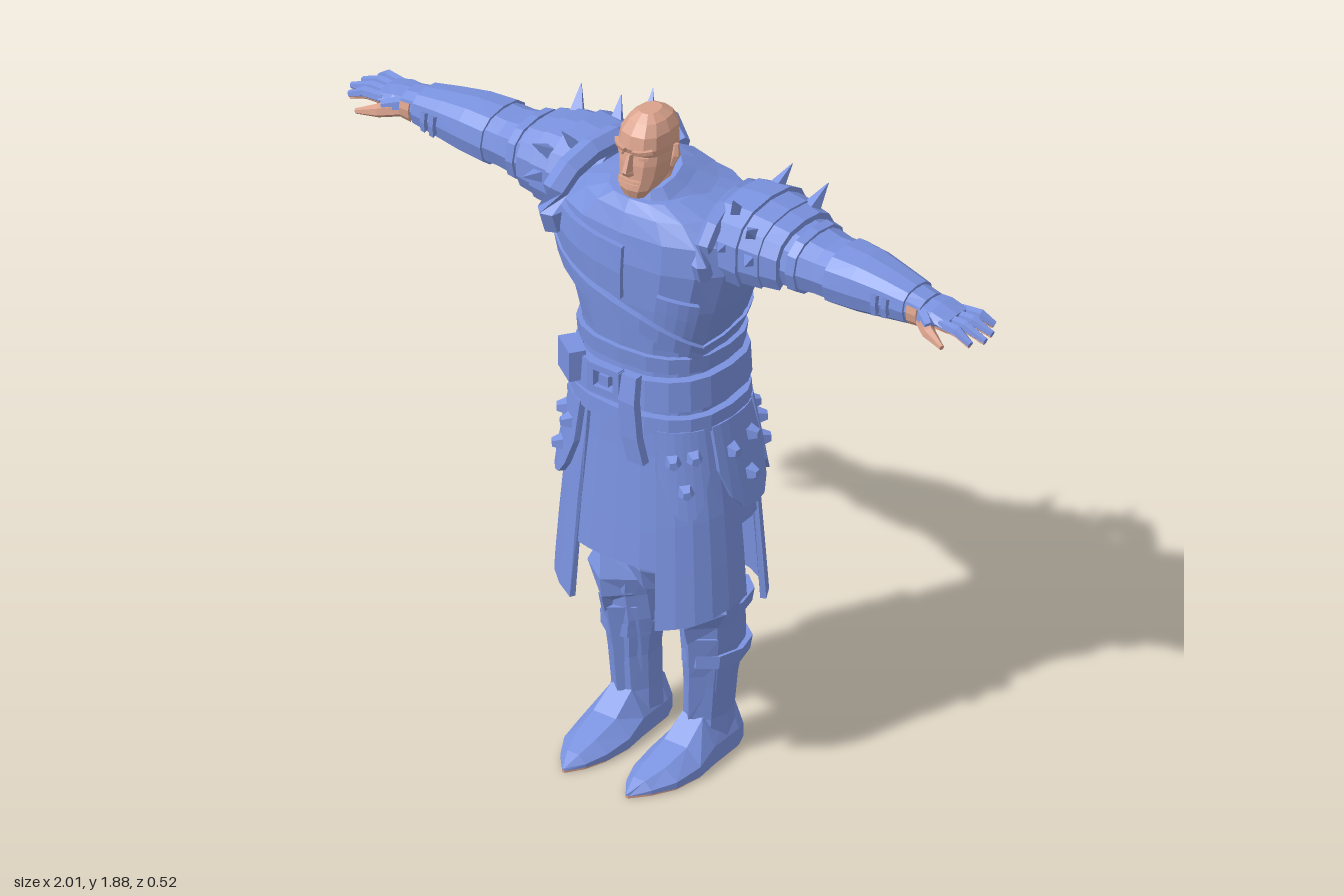
import * as THREE from 'three';

const V = (x, y, z) => new THREE.Vector3(x, y, z);
const rad = Math.PI / 180;
const range = (a, b, n) => Array.from({ length: n + 1 }, (_, i) => a + (b - a) * i / n);
const pw = (v) => Math.sign(v) * Math.abs(v) ** 0.8;

// Faceted skin over a list of equal-length rings, capped at both ends and facing outwards
function loft(rings) {
  const tris = [], n = rings[0].length, last = rings[rings.length - 1];
  const mid = (r) => r.reduce((s, p) => s.add(p), V(0, 0, 0)).divideScalar(n);
  const c0 = mid(rings[0]), c1 = mid(last);
  for (let j = 0; j < n; j++) {
    const k = (j + 1) % n;
    for (let i = 0; i < rings.length - 1; i++) {
      const [a, b, c, d] = [rings[i][j], rings[i][k], rings[i + 1][k], rings[i + 1][j]];
      tris.push([a, b, c], [a, c, d]);
    }
    tris.push([c0, rings[0][k], rings[0][j]], [c1, last[j], last[k]]);
  }
  const vol = tris.reduce((s, [a, b, c]) => s + a.clone().sub(c0).dot(b.clone().sub(c0).cross(c.clone().sub(c0))), 0);
  const pts = tris.flatMap(([a, b, c]) => (vol < 0 ? [a, c, b] : [a, b, c]));
  const g = new THREE.BufferGeometry().setFromPoints(pts);
  g.computeVertexNormals();
  return g;
}

// Point on a body described by rows of [along, halfWidth, front, back]
function rowAt(table, t) {
  let i = 0;
  while (i < table.length - 2 && t > table[i + 1][0]) i++;
  const A = table[i], B = table[i + 1];
  const f = Math.min(1, Math.max(0, (t - A[0]) / (B[0] - A[0])));
  return A.map((v, k) => v + (B[k] - v) * f);
}
const body = (table) => (y, deg, off = 0) => {
  const [, rx, zf, zb] = rowAt(table, y);
  return V((rx + off) * pw(Math.cos(deg * rad)), y, (zf + zb) / 2 + ((zf - zb) / 2 + off) * pw(Math.sin(deg * rad)));
};
// Point on a limb running along x, rows of [x, yCentre, yRadius, zCentre, zRadius]
const limb = (table) => (x, deg, off = 0) => {
  const [, yc, ry, zc, rz] = rowAt(table, x);
  return V(x, yc + (ry + off) * pw(Math.sin(deg * rad)), zc + (rz + off) * pw(Math.cos(deg * rad)));
};
const shell = (pt, table, n) => table.map((r) => range(0, 360, n).slice(0, n).map((a) => pt(r[0], a)));

// Thick plate following a surface; lo and hi are numbers or functions of 0..1 across it
function plate(pt, a0, a1, lo, hi, o0 = 0.0, o1 = 0.014, n = 6, m = 2) {
  const at = (f, u) => (typeof f === 'function' ? f(u) : f);
  return range(0, 1, n).map((u) => {
    const a = a0 + (a1 - a0) * u, ts = range(at(lo, u), at(hi, u), m);
    return [...ts.map((t) => pt(t, a, o1)), ...ts.reverse().map((t) => pt(t, a, o0))];
  });
}

// Tapered tube through points with a radius at each
function rod(points, radii, n = 6) {
  return points.map((p, i) => {
    const d = points[Math.min(i + 1, points.length - 1)].clone().sub(points[Math.max(i - 1, 0)]).normalize();
    const u = d.clone().cross(Math.abs(d.y) > 0.9 ? V(1, 0, 0) : V(0, 1, 0)).normalize();
    const v = u.clone().cross(d);
    return range(0, 360, n).slice(0, n).map((a) => p.clone()
      .addScaledVector(u, radii[i] * Math.cos((a + 45) * rad)).addScaledVector(v, radii[i] * Math.sin((a + 45) * rad)));
  });
}
const spike = (a, b, r) => rod([a, b], [r, 0.001], 4);

export function createModel() {
  const root = new THREE.Group();
  root.name = 'armouredFigure';
  const blue = new THREE.MeshStandardMaterial({ color: 0x7a92df, name: 'blue cloth and armour' });
  const skin = new THREE.MeshStandardMaterial({ color: 0xd9a28c, name: 'skin' });
  const add = (name, rings, mat = blue) => {
    const m = new THREE.Mesh(loft(rings), mat);
    m.name = name;
    root.add(m);
  };
  const sided = (name, rings, s, mat) => add((s > 0 ? 'left' : 'right') + name, rings.map((r) => r.map((p) => V(p.x * s, p.y, p.z))), mat);
  const both = (name, rings, mat) => [1, -1].forEach((s) => sided(name, rings, s, mat));

  // Torso and raised collar
  const torsoT = [[1.02, 0.205, 0.155, -0.19], [1.2, 0.195, 0.145, -0.185], [1.26, 0.2, 0.15, -0.195], [1.38, 0.24, 0.16, -0.21],
    [1.5, 0.275, 0.165, -0.225], [1.58, 0.27, 0.155, -0.225], [1.63, 0.2, 0.135, -0.2], [1.66, 0.115, 0.115, -0.13]];
  const torso = body(torsoT);
  add('torso', shell(torso, torsoT, 16));
  const collarT = [[1.63, 0.14, 0.12, -0.15], [1.67, 0.095, 0.105, -0.1], [1.7, 0.07, 0.09, -0.055]];
  add('collar', shell(body(collarT), collarT, 12).map((r) => r.map((p) => V(p.x, p.y + (0.03 - p.z) * 0.3, p.z))));

  // Chest wrap, diagonal strap and pocket
  add('chestWrap', plate(torso, 88, 150, (u) => 1.40 + u * 0.08, (u) => 1.55 + u * 0.03, 0, 0.014));
  add('chestStrap', plate(torso, 25, 155, (u) => 1.235 + u * 0.21, (u) => 1.275 + u * 0.22, 0, 0.02, 10));
  add('chestPocket', plate(torso, 38, 68, (u) => 1.31 + u * 0.05, (u) => 1.42 + u * 0.02, 0, 0.016, 4));
  add('backStrap', plate(torso, 155, 385, (u) => 1.44 - u * 0.2, (u) => 1.47 - u * 0.2, 0, 0.009, 12));

  // Belts, buckle, pouch and hanging strap
  add('sash', plate(torso, 0, 360, 1.2, 1.245, 0, 0.014, 20));
  add('belt', plate(torso, 0, 360, (u) => 1.09 + 0.012 * Math.cos(u * 6.283), (u) => 1.175 + 0.012 * Math.cos(u * 6.283), 0, 0.024, 20));
  add('waistRoll', plate(torso, 0, 360, 1.03, 1.075, 0, 0.022, 20));
  const box = (name, w, h, d, x, y, z, ry = 0) => {
    const m = new THREE.Mesh(new THREE.BoxGeometry(w, h, d), blue);
    m.name = name;
    m.position.set(x, y, z);
    m.rotation.y = ry;
    root.add(m);
  };
  for (const s of [-1, 1]) {
    box('buckleBar', 0.095, 0.018, 0.025, -0.02, 1.155 + s * 0.032, 0.185);
    box('buckleSide', 0.02, 0.075, 0.025, -0.02 + s * 0.04, 1.155, 0.185);
  }
  box('bucklePin', 0.03, 0.03, 0.02, -0.02, 1.155, 0.185);
  box('pouch', 0.09, 0.085, 0.045, -0.165, 1.14, 0.135, -0.6);
  add('hangingStrap', [[1.19, 0.05, 0.175], [1.12, 0.055, 0.19], [1.02, 0.065, 0.19], [0.95, 0.08, 0.185]].map(([y, x, z]) =>
    [V(x - 0.025, y, z + 0.01), V(x + 0.025, y, z + 0.01), V(x + 0.025, y, z - 0.015), V(x - 0.025, y, z - 0.015)]));

  // Skirt panels, open at the sides and cut short in the middle
  const skirt = body([[0.47, 0.27, 0.195, -0.228], [0.75, 0.25, 0.175, -0.21], [0.95, 0.222, 0.16, -0.198], [1.06, 0.205, 0.155, -0.19]]);
  both('SkirtPanel', plate(skirt, 0, 66, (u) => 0.53 - u * 0.06, 1.06, -0.01, 0.005, 5, 4));
  add('skirtMiddle', plate(skirt, 64, 116, 0.63, 1.06, -0.02, -0.003, 4, 4));
  add('skirtBack', plate(skirt, 200, 340, 0.47, 1.06, -0.01, 0.005, 10, 4));
  both('SkirtSide', plate(skirt, -22, 2, 0.73, 1.06, -0.012, 0.0, 2, 3));

  // Rounded hip flaps with raised studs
  for (const [c, w, tilt] of [[44, 19, 0.02], [-3, 21, 0.05], [-48, 19, 0.03]]) {
    const flare = (y, a, off) => skirt(y, a, off + (1.04 - y) * tilt * 2);
    both('HipFlap', plate(flare, c - w, c + w, (u) => 0.80 + 0.12 * Math.abs(2 * u - 1) ** 2.5, 1.04, 0.004, 0.02, 6, 3));
    for (const [da, y] of [[-8, 0.97], [8, 0.96], [0, 0.88]])
      both('FlapStud', rod([flare(y, c + da, 0.012), flare(y, c + da, 0.04)], [0.026, 0.013], 5));
  }

  // Bare thighs, inner cloth and tall boots
  const leg = (rows, n = 9) => rows.map(([y, x, rx, z, rz]) => range(0, 360, n).slice(0, n).map((a) =>
    V(x + rx * Math.cos(a * rad), y, z + rz * Math.sin(a * rad))));
  both('Thigh', leg([[0.42, 0.125, 0.07, -0.07, 0.075], [0.6, 0.115, 0.078, -0.07, 0.085], [0.9, 0.1, 0.085, -0.04, 0.1]]), skin);
  add('innerCloth', [[0.75, 0.07, 0.07], [0.6, 0.045, 0.05], [0.54, 0.075, 0.045], [0.48, 0.03, 0.03]].map(([y, w, z]) =>
    [V(-w, y, z), V(0, y, z + 0.025), V(w, y, z), V(w, y, z - 0.02), V(-w, y, z - 0.02)]));
  both('Boot', leg([[0.05, 0.11, 0.066, -0.06, 0.085], [0.12, 0.112, 0.06, -0.065, 0.075], [0.22, 0.118, 0.064, -0.065, 0.078],
    [0.33, 0.122, 0.078, -0.07, 0.092], [0.4, 0.128, 0.075, -0.065, 0.09], [0.47, 0.13, 0.08, -0.06, 0.09]]));
  for (const [y, r] of [[0.3, 0.1], [0.435, 0.112]])
    both('BootStrap', leg([[y - 0.018, 0.126, 0.08, -0.075, r], [y + 0.018, 0.126, 0.083, -0.08, r + 0.004]]));
  both('KneeGuard', [[0.36, 0.13, 0.01, 0.045], [0.41, 0.13, 0.06, 0.06], [0.46, 0.135, 0.085, 0.06], [0.53, 0.15, 0.04, 0.04]].map(([y, x, w, z]) =>
    [V(x - w, y, z - 0.06), V(x, y, z), V(x + w, y, z - 0.06), V(x, y, z - 0.075)]));
  both('ShinPlate', [[0.12, 0.112, 0.045, 0.018], [0.25, 0.12, 0.055, 0.025], [0.37, 0.128, 0.062, 0.04]].map(([y, x, w, z]) =>
    [V(x - w, y, z - 0.045), V(x, y, z), V(x + w, y, z - 0.045), V(x, y, z - 0.06)]));

  // Pointed shoes with pale soles
  const footRows = [[-0.15, 0.112, 0.045, 0.1], [-0.11, 0.112, 0.062, 0.12], [0, 0.112, 0.07, 0.125], [0.07, 0.112, 0.079, 0.075],
    [0.15, 0.11, 0.068, 0.052], [0.21, 0.104, 0.04, 0.035], [0.255, 0.1, 0.004, 0.012]];
  both('Shoe', footRows.map(([z, x, w, h]) => [V(x - w, 0.006, z), V(x - w, h * 0.45, z), V(x - w * 0.45, h, z),
    V(x + w * 0.45, h, z), V(x + w, h * 0.45, z), V(x + w, 0.006, z)]));
  both('Sole', footRows.map(([z, x, w]) => [V(x - w * 0.93, 0, z), V(x - w * 0.93, 0.007, z), V(x + w * 0.93, 0.007, z), V(x + w * 0.93, 0, z)]), skin);

  // Arms with sleeve edges and bracers
  const armT = [[0.18, 1.56, 0.09, -0.07, 0.11], [0.3, 1.56, 0.095, -0.08, 0.122], [0.4, 1.563, 0.08, -0.075, 0.108], [0.5, 1.56, 0.068, -0.072, 0.092],
    [0.57, 1.56, 0.07, -0.073, 0.09], [0.65, 1.562, 0.064, -0.068, 0.078], [0.74, 1.562, 0.048, -0.062, 0.06], [0.82, 1.56, 0.036, -0.058, 0.052]];
  const arm = limb(armT);
  both('Arm', shell(arm, armT, 10));
  both('SleeveEdge', plate(arm, 0, 360, 0.43, 0.455, 0, 0.008, 12, 1));
  both('Bracer', plate(arm, 0, 360, 0.54, 0.775, 0, 0.007, 12, 3));
  for (const x of [0.69, 0.72]) both('BracerClasp', plate(arm, -18, 18, x, x + 0.015, 0, 0.02, 2, 1));
  both('WristSkin', plate(arm, -40, 25, 0.785, 0.815, 0, 0.006, 3, 1), skin);

  // Gloved hands with bare palms and thumbs
  both('Hand', [[0.8, 1.56, 0.05, 0.03], [0.85, 1.563, 0.058, 0.024], [0.9, 1.555, 0.056, 0.017]].map(([x, y, w, h]) =>
    range(0, 360, 8).slice(0, 8).map((a) => V(x, y + h * pw(Math.sin(a * rad)), -0.063 + w * pw(Math.cos(a * rad))))));
  both('Palm', [[0.81, 1.527, 0.036], [0.85, 1.537, 0.044], [0.9, 1.536, 0.044]].map(([x, y, w]) =>
    [V(x, y, -0.063 - w), V(x, y + 0.009, -0.063 - w), V(x, y + 0.009, -0.063 + w), V(x, y, -0.063 + w)]), skin);
  [[-0.106, -0.125, 0.97], [-0.078, -0.086, 0.993], [-0.05, -0.048, 1.0], [-0.022, -0.012, 0.98]].forEach(([z0, z1, x]) => {
    const path = [V(0.88, 1.557, z0), V(0.935, 1.557, (z0 + z1) / 2), V(x, 1.537, z1)];
    both('Finger', rod(path, [0.015, 0.015, 0.009], 6));
    both('FingerPad', rod(path.map((p) => V(p.x - 0.003, p.y - 0.007, p.z)), [0.011, 0.011, 0.006], 6), skin);
  });
  both('Thumb', rod([V(0.82, 1.55, -0.025), V(0.87, 1.542, 0.015), V(0.925, 1.53, 0.035)], [0.023, 0.018, 0.007], 6), skin);
  both('ThumbGuard', rod([V(0.82, 1.562, -0.025), V(0.865, 1.555, 0.008)], [0.022, 0.015], 6));

  // Layered shoulder plates, thicker roll on the right
  [[0.21, 0.3, 0.03], [0.28, 0.36, 0.022], [0.34, 0.41, 0.016]].forEach(([x0, x1, o]) =>
    both('ShoulderPlate', plate(arm, -35, 215, x0, x1, 0, o, 10, 1)));
  for (const [s, r, w] of [[1, 0.165, 0.024], [-1, 0.185, 0.034]]) {
    const arc = range(-25, 200, 9).map((a) => V(0.2 + 0.03 * Math.cos(a * rad), 1.555 + (r - 0.065) * Math.sin(a * rad), -0.045 + r * Math.cos(a * rad)));
    sided('ShoulderRoll', rod(arc, arc.map(() => w), 6), s);
  }
  sided('RearRoll', rod([V(0.04, 1.67, -0.16), V(0.13, 1.68, -0.2), V(0.22, 1.64, -0.215)], [0.02, 0.045, 0.035], 6), -1);

  // Shoulder spikes and studs
  sided('TallSpike', spike(V(0.17, 1.63, -0.17), V(0.2, 1.735, -0.245), 0.03), -1);
  for (const [x, a, h] of [[0.25, 60, 0.085], [0.25, 125, 0.08], [0.32, 40, 0.07], [0.37, 125, 0.08], [0.33, 5, 0.06], [0.25, 10, 0.065]])
    both('ShoulderSpike', spike(arm(x, a, 0.008), arm(x + 0.02, a, h), 0.024));

  // Head
  const headT = [[1.665, 0.034, 0.115, 0.03], [1.69, 0.05, 0.124, -0.005], [1.72, 0.06, 0.118, -0.035], [1.76, 0.066, 0.114, -0.045], [1.785, 0.066, 0.108, -0.05],
    [1.805, 0.067, 0.117, -0.05], [1.84, 0.063, 0.108, -0.05], [1.868, 0.048, 0.085, -0.035], [1.885, 0.025, 0.06, -0.005]];
  const head = body(headT);
  add('head', shell(head, headT, 12), skin);
  add('neck', leg([[1.62, 0, 0.07, 0.02, 0.075], [1.72, 0, 0.056, 0.02, 0.06]]), skin);
  add('nose', [[1.79, 0.008, 0.118], [1.745, 0.013, 0.138], [1.732, 0.017, 0.128]].map(([y, w, z]) =>
    [V(-w, y, 0.1), V(-w * 0.5, y, z), V(w * 0.5, y, z), V(w, y, 0.1)]), skin);
  both('Brow', plate(head, 40, 84, (u) => 1.802 - u * 0.008, (u) => 1.812 - u * 0.006, -0.004, 0.008, 3, 1), skin);
  both('Eye', plate(head, 52, 72, 1.778, 1.786, -0.004, 0.004, 2, 1), skin);
  for (const y of [1.703, 1.713]) add('lip', plate(head, 65, 115, y, y + 0.007, -0.004, 0.006, 4, 1), skin);
  both('Ear', rod([V(0.06, 1.735, 0.02), V(0.067, 1.765, 0.012), V(0.066, 1.795, 0.008)], [0.007, 0.014, 0.008], 6), skin);
  return root;
}
